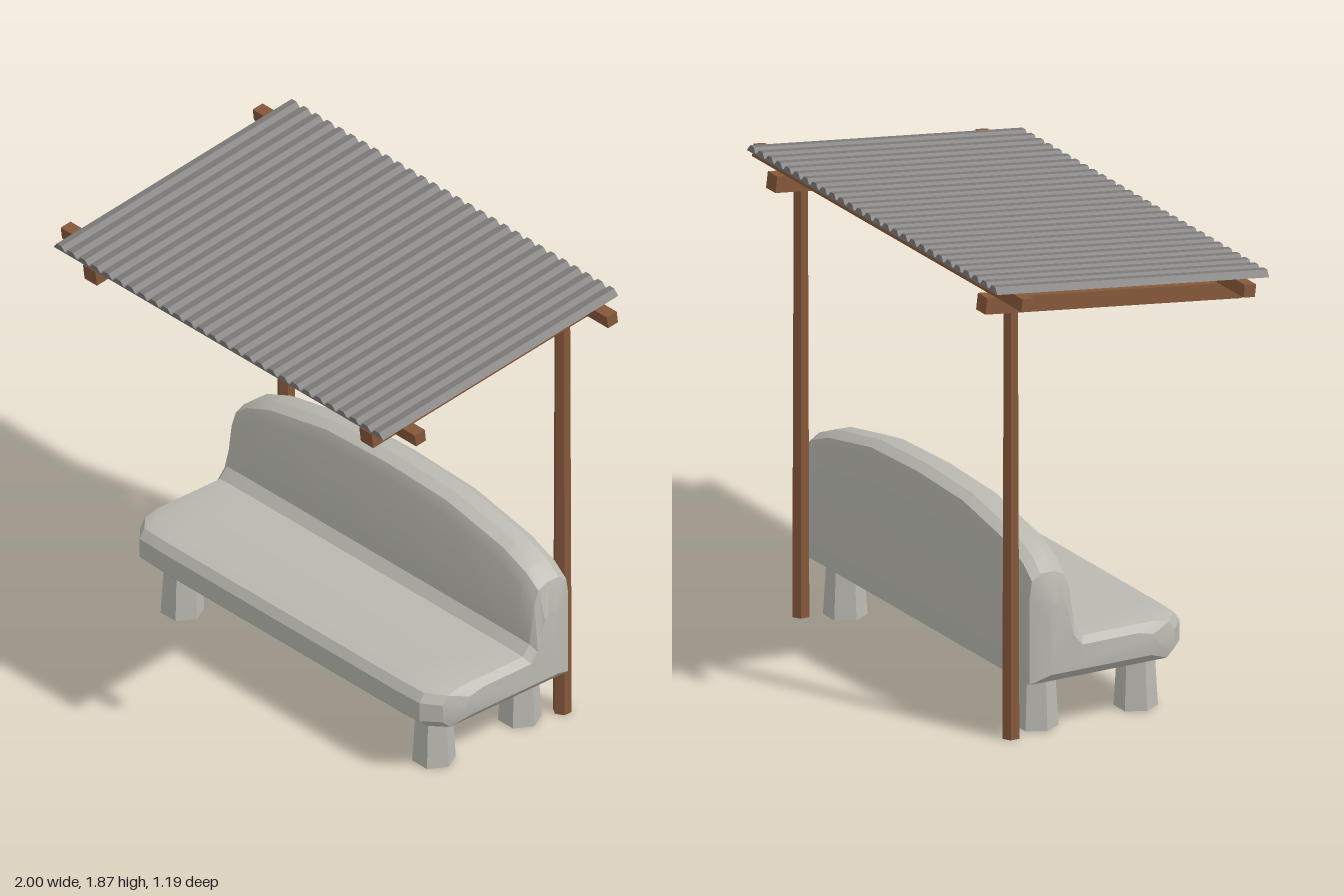
import * as THREE from 'three';
import { toCreasedNormals } from 'three/addons/utils/BufferGeometryUtils.js';

const stone = new THREE.MeshStandardMaterial({ color: 0xb9b8b0 });
stone.name = 'stone';
const wood = new THREE.MeshStandardMaterial({ color: 0x85583a });
wood.name = 'wood';
const sheet = new THREE.MeshStandardMaterial({ color: 0x7a7977 });
sheet.name = 'roofSheet';

function add(parent, name, geometry, material, x = 0, y = 0, z = 0) {
  const mesh = new THREE.Mesh(geometry, material);
  mesh.name = name;
  mesh.position.set(x, y, z);
  parent.add(mesh);
  return mesh;
}

// Six-sided tapered column
function hexColumn(rTop, rBottom, height, turn = 0) {
  const g = new THREE.CylinderGeometry(rTop, rBottom, height, 6);
  g.rotateY(turn);
  return toCreasedNormals(g, 0.5);
}

// Bench outline in (z, y): bottom, rounded seat front, backrest
function benchProfile({ top, front, back, bottom, seat, inset }) {
  const face = -0.235 - inset;
  const across = (t) => face + (back - face) * t;
  return [
    [back, bottom], [front - 0.035, bottom], [front, bottom + 0.035],
    [front, seat - 0.05], [front - 0.025, seat - 0.015], [front - 0.09, seat],
    [-0.175 - inset, seat], [-0.21 - inset, seat + 0.04],
    [face, top - 0.07], [across(0.12), top - 0.02], [across(0.37), top],
    [across(0.72), top], [across(0.94), top - 0.025], [back, top - 0.09],
  ];
}

// Bench body lofted across x, narrowing at the ends
function benchGeometry() {
  const base = { back: -0.41, bottom: 0.225, seat: 0.39, inset: 0, front: 0.29 };
  const half = [
    { ...base, x: 0, top: 0.84 },
    { ...base, x: 0.34, top: 0.828 },
    { ...base, x: 0.66, top: 0.767 },
    { ...base, x: 0.79, top: 0.715, front: 0.285 },
    { ...base, x: 0.855, top: 0.663, front: 0.225, seat: 0.383, inset: 0.004 },
    { x: 0.885, top: 0.55, front: 0.14, back: -0.335, bottom: 0.26, seat: 0.358, inset: 0.02 },
  ];
  const stations = [...half.slice(1).reverse().map((s) => ({ ...s, x: -s.x })), ...half];
  const positions = [];
  const index = [];
  let n = 0;
  for (const s of stations) {
    const profile = benchProfile(s);
    n = profile.length;
    for (const [z, y] of profile) positions.push(s.x, y, z);
  }
  for (let i = 0; i < stations.length - 1; i++) {
    for (let j = 0; j < n; j++) {
      const a = i * n + j, b = i * n + (j + 1) % n;
      index.push(a, a + n, b, b, a + n, b + n);
    }
  }
  // End caps
  const outline = benchProfile(half[half.length - 1]).map(([z, y]) => new THREE.Vector2(z, y));
  const last = (stations.length - 1) * n;
  for (const [a, b, c] of THREE.ShapeUtils.triangulateShape(outline, [])) {
    const p = outline[a], q = outline[b], r = outline[c];
    const ccw = (q.x - p.x) * (r.y - p.y) - (q.y - p.y) * (r.x - p.x) > 0;
    const [u, v] = ccw ? [b, c] : [c, b];
    index.push(a, u, v);
    index.push(last + a, last + v, last + u);
  }
  const g = new THREE.BufferGeometry();
  g.setAttribute('position', new THREE.Float32BufferAttribute(positions, 3));
  g.setIndex(index);
  return toCreasedNormals(g, 0.4);
}

// Ribbed roof sheet with a flat underside
function roofGeometry() {
  const ribs = 28, width = 1.86, pitch = width / ribs, low = 0.006, high = 0.025;
  const shape = new THREE.Shape();
  shape.moveTo(-width / 2, 0);
  shape.lineTo(width / 2, 0);
  for (let i = ribs - 1; i >= 0; i--) {
    const x = -width / 2 + i * pitch;
    for (const [u, y] of [[0.93, low], [0.7, high], [0.3, high], [0.07, low]]) {
      shape.lineTo(x + u * pitch, y);
    }
  }
  const g = new THREE.ExtrudeGeometry(shape, { depth: 1.2, bevelEnabled: false });
  g.translate(0, 0, -0.6);
  return g;
}

export function createModel() {
  const model = new THREE.Group();
  model.name = 'shelteredBench';

  // Bench and its legs
  const bench = new THREE.Group();
  bench.name = 'bench';
  model.add(bench);
  add(bench, 'benchBody', benchGeometry(), stone);
  const legGeometry = hexColumn(0.07, 0.084, 0.235, Math.PI / 2);
  for (const [side, x] of [['left', 0.71], ['right', -0.71]]) {
    add(bench, side + 'FrontLeg', legGeometry, stone, x, 0.1175, 0.14);
    add(bench, side + 'BackLeg', legGeometry, stone, x, 0.1175, -0.295);
  }

  // Posts
  const postGeometry = hexColumn(0.031, 0.037, 1.715);
  for (const [side, x] of [['left', 0.78], ['right', -0.78]]) {
    add(model, side + 'Post', postGeometry, wood, x, 0.8575, -0.448);
  }

  // Sloping canopy: rafters, purlins, roof sheet
  const canopy = new THREE.Group();
  canopy.name = 'canopy';
  canopy.position.set(0, 1.692, -0.015);
  canopy.rotation.x = 0.124;
  model.add(canopy);
  const rafter = new THREE.BoxGeometry(0.07, 0.065, 1.13);
  add(canopy, 'leftRafter', rafter, wood, 0.78);
  add(canopy, 'rightRafter', rafter, wood, -0.78);
  const purlin = new THREE.BoxGeometry(2, 0.05, 0.05);
  add(canopy, 'frontPurlin', purlin, wood, 0, 0.0575, 0.48);
  add(canopy, 'backPurlin', purlin, wood, 0, 0.0575, -0.5);
  add(canopy, 'roofSheet', roofGeometry(), sheet, 0, 0.0825, 0.004);

  return model;
}
